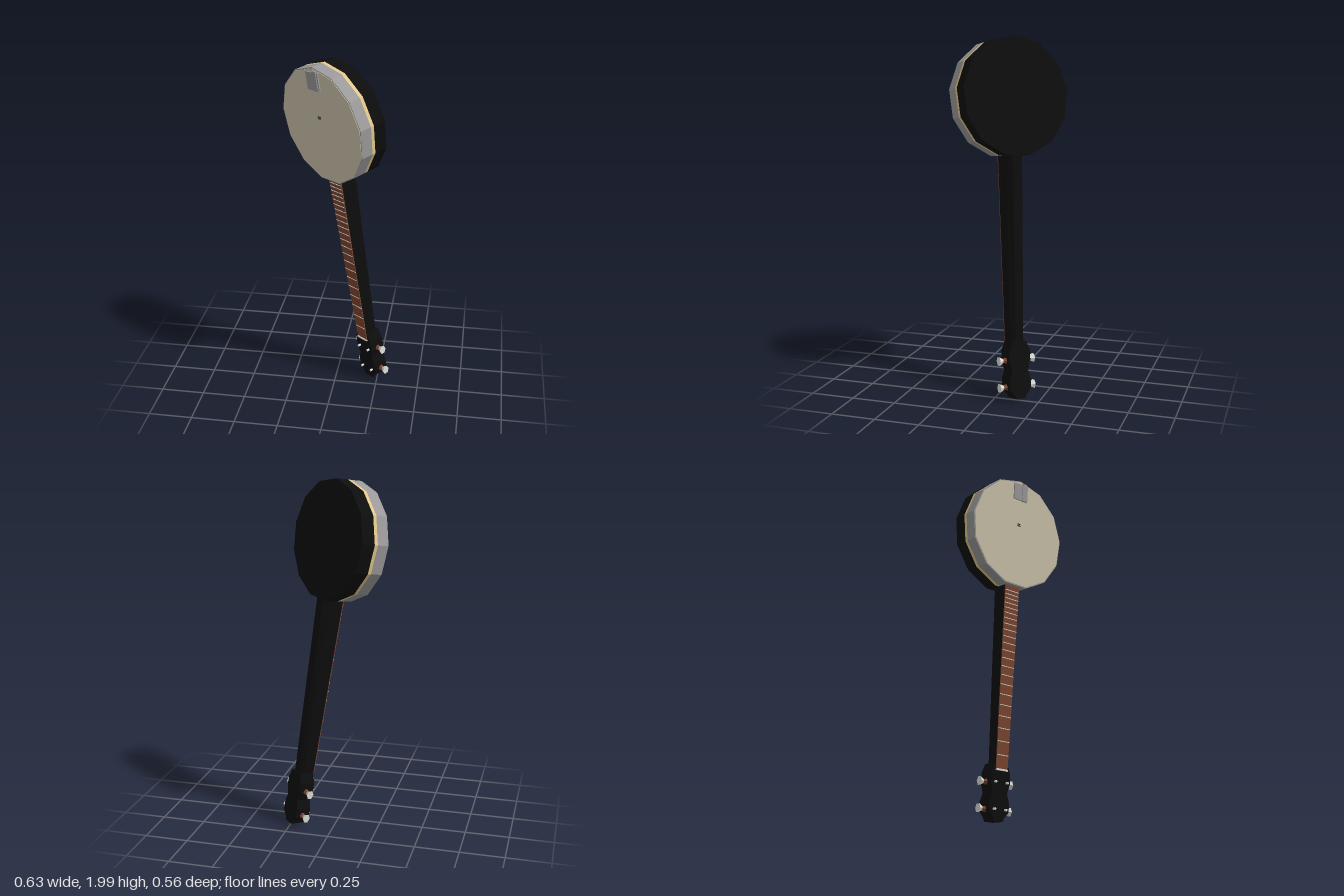
import * as THREE from 'three';

const mat = (name, color) => {
  const m = new THREE.MeshStandardMaterial({ color, flatShading: true });
  m.name = name;
  return m;
};

export function createModel() {
  const black = mat('black', 0x0d0d0d);
  const grey = mat('rim grey', 0x9c9a9a);
  const cream = mat('binding cream', 0xe3c98a);
  const skin = mat('drum skin', 0xcdc5ac);
  const brown = mat('fretboard brown', 0x7d4630);
  const white = mat('peg white', 0xdcdcd8);

  // Local frame: origin at the drum's face centre, +y away from the neck, +z out of the face
  const model = new THREE.Group();
  const banjo = new THREE.Group();
  banjo.name = 'banjo';
  model.add(banjo);
  const add = (name, geometry, material, x = 0, y = 0, z = 0) => {
    const mesh = new THREE.Mesh(geometry, material);
    mesh.name = name;
    mesh.position.set(x, y, z);
    banjo.add(mesh);
    return mesh;
  };

  // Drum: thirteen-sided layers, each from one depth to another
  const R = 0.331;
  const layer = (name, radius, z0, z1, material) =>
    add(name, new THREE.CylinderGeometry(radius, radius, z0 - z1, 13).rotateX(-Math.PI / 2),
      material, 0, 0, (z0 + z1) / 2);
  layer('drumSkin', R - 0.006, 0.003, -0.004, skin);
  layer('rim', R, 0, -0.07, grey);
  layer('binding', R, -0.07, -0.09, cream);
  layer('resonator', R, -0.09, -0.168, black);

  // Tailpiece and bridge
  add('tailpiece', new THREE.BoxGeometry(0.1, 0.1, 0.008), grey, 0, 0.255, 0.006);
  add('tailpieceStrip', new THREE.BoxGeometry(0.03, 0.11, 0.008), grey, 0.025, 0.26, 0.01);
  for (const y of [0.045, 0.055]) {
    add('bridge', new THREE.BoxGeometry(0.022, 0.004, 0.004), black, 0, y, 0.004);
  }

  // Neck: chamfered section tapering towards the head
  const start = 0.3, end = 1.4;
  const along = (s) => (s - start) / (end - start);
  const halfWidth = (s) => THREE.MathUtils.lerp(0.051, 0.04, along(s));
  const front = (s) => THREE.MathUtils.lerp(-0.032, -0.042, along(s));
  const depth = (s) => THREE.MathUtils.lerp(0.122, 0.084, along(s));
  const section = new THREE.Shape(
    [[-1, 0], [-1, -0.75], [-0.55, -1], [0.55, -1], [1, -0.75], [1, 0]]
      .map(([x, y]) => new THREE.Vector2(x, y)));
  const neck = new THREE.ExtrudeGeometry(section, { depth: end - start, bevelEnabled: false });
  const p = neck.attributes.position;
  for (let i = 0; i < p.count; i++) {
    const s = start + p.getZ(i);
    p.setXYZ(i, p.getX(i) * halfWidth(s), -s, front(s) + p.getY(i) * depth(s));
  }
  neck.computeVertexNormals();
  add('neck', neck, black);

  // Fretboard: thin tapered plate on the neck
  const board = new THREE.BoxGeometry(2, 1.08, 0.006);
  const b = board.attributes.position;
  for (let i = 0; i < b.count; i++) {
    const s = 0.845 - b.getY(i);
    b.setXYZ(i, b.getX(i) * halfWidth(s), -s, front(s) + 0.002 + b.getZ(i));
  }
  board.computeVertexNormals();
  add('fretboard', board, brown);

  // Frets in equal-tempered spacing, and the nut
  for (let n = 1; n <= 22; n++) {
    const s = -0.05 + 1.435 * 2 ** (-n / 12);
    add('fret', new THREE.BoxGeometry(halfWidth(s) * 1.96, 0.004, 0.004), white, 0, -s, front(s) + 0.005);
  }
  add('nut', new THREE.BoxGeometry(0.08, 0.01, 0.012), white, 0, -1.385, -0.038);

  // Headstock: two lobes with a waist, mirrored about the centre line
  const side = [[0.043, 1.35], [0.065, 1.4], [0.067, 1.455], [0.05, 1.51],
    [0.067, 1.56], [0.067, 1.61], [0.036, 1.645], [0.03, 1.664]];
  const outline = [...side, ...side.map(([x, s]) => [-x, s]).reverse()];
  const headShape = new THREE.Shape(outline.map(([x, s]) => new THREE.Vector2(x, -s)));
  add('headstock', new THREE.ExtrudeGeometry(headShape, { depth: 0.09, bevelEnabled: false }),
    black, 0, 0, -0.133);

  // Tuning pegs: brown shaft, flared white button and a post on the face
  for (const s of [1.453, 1.6]) {
    for (const k of [-1, 1]) {
      const turn = -k * Math.PI / 2;
      add('pegShaft', new THREE.CylinderGeometry(0.009, 0.02, 0.03, 6).rotateZ(turn),
        brown, k * 0.075, -s, -0.09);
      add('pegButton', new THREE.CylinderGeometry(0.027, 0.013, 0.026, 6).rotateZ(turn).scale(1, 1, 0.85),
        white, k * 0.098, -s, -0.09);
      add('tuningPost', new THREE.CylinderGeometry(0.007, 0.007, 0.02, 6).rotateX(Math.PI / 2),
        white, k * 0.04, -s, -0.036);
    }
  }

  // Lean the whole instrument, head down
  const up = new THREE.Vector3(-0.14, 0.985, 0.07).normalize();
  const right = up.clone().cross(new THREE.Vector3(-0.655, -0.15, 0.744)).normalize();
  const out = right.clone().cross(up);
  banjo.quaternion.setFromRotationMatrix(new THREE.Matrix4().makeBasis(right, up, out));
  banjo.position.set(-0.06, 1.65, 0.0625);
  return model;
}
